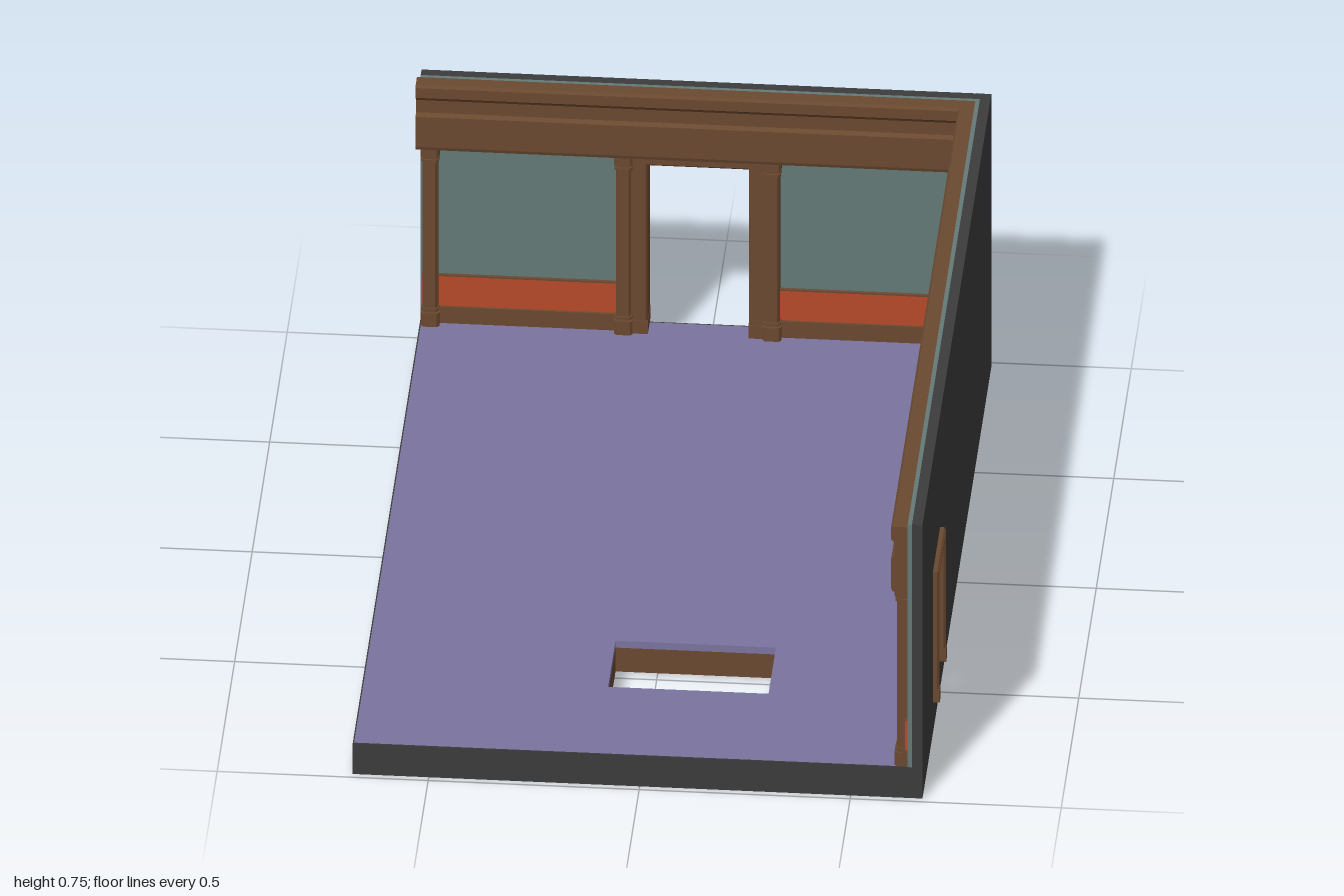
import * as THREE from 'three';

const mat = (color) => new THREE.MeshStandardMaterial({ color, flatShading: true });
const wood = mat(0x6b4930), dark = mat(0x3c3c3c), teal = mat(0x647a78);
const red = mat(0xb84a2a), violet = mat(0x7b74a0);
const FLOOR = 0.085, TOP = 0.755, FACE = 0.035;

const poly = (pts) => new THREE.Shape(pts.map(([x, y]) => new THREE.Vector2(x, y)));
const rect = (x0, x1, y0, y1) => poly([[x0, y0], [x1, y0], [x1, y1], [x0, y1]]);

function add(parent, name, geometry, material) {
  const mesh = new THREE.Mesh(geometry, material);
  mesh.name = name;
  parent.add(mesh);
  return mesh;
}

function box(parent, name, material, x0, x1, y0, y1, z0, z1) {
  const m = add(parent, name, new THREE.BoxGeometry(x1 - x0, y1 - y0, z1 - z0), material);
  m.position.set((x0 + x1) / 2, (y0 + y1) / 2, (z0 + z1) / 2);
}

// Extrudes a shape along z between two depths
function slab(parent, name, material, shape, z0, z1, bevel = 0) {
  const geo = new THREE.ExtrudeGeometry(shape, {
    depth: z1 - z0 - 2 * bevel, bevelEnabled: bevel > 0, bevelSize: bevel,
    bevelThickness: bevel, bevelOffset: -bevel, bevelSegments: 1,
  });
  geo.translate(0, 0, z0 + bevel);
  return add(parent, name, geo, material);
}

// Horizontal layer drawn as a plan in x and z, raised from y0 to y1
function plate(parent, name, material, outline, y0, y1, holes = []) {
  outline.holes.push(...holes);
  const m = slab(parent, name, material, outline, -y1, -y0);
  m.geometry.rotateX(Math.PI / 2);
}

// Column with chamfered front corners, plus a base and a capital
function pilaster(parent, x) {
  const g = new THREE.Group();
  g.name = 'pilaster';
  const piece = (name, half, depth, y0, y1) => {
    const c = 0.006;
    const plan = poly([[-half, 0], [half, 0], [half, depth - c], [half - c, depth],
      [c - half, depth], [-half, depth - c]]);
    plate(g, name, wood, plan, y0, y1);
  };
  piece('pilasterBase', 0.022, 0.032, FLOOR, 0.122);
  piece('pilasterShaft', 0.018, 0.026, 0.122, 0.58);
  piece('pilasterLowerCollar', 0.021, 0.03, 0.128, 0.134);
  piece('pilasterNeck', 0.021, 0.03, 0.538, 0.545);
  piece('pilasterCapital', 0.022, 0.032, 0.551, 0.58);
  g.position.set(x, 0, FACE);
  parent.add(g);
}

// Upside-down U around a doorway
function doorCasing(parent, { d0, d1, top, width, out }) {
  const u = poly([[d0 - width, FLOOR], [d0, FLOOR], [d0, top], [d1, top], [d1, FLOOR],
    [d1 + width, FLOOR], [d1 + width, top + width * 0.85], [d0 - width, top + width * 0.85]]);
  slab(parent, 'doorCasing', wood, u, -out, FACE + 0.02, 0.005);
  for (const [a, b] of [[d0 - width, d0], [d1, d1 + width]])
    box(parent, 'doorPlinth', wood, a - 0.001, b + 0.001, FLOOR, 0.12, -out - 0.001, FACE + 0.022);
}

// Wall built along local x; local z = 0 is the outer face, +z points inward
function wall(name, { shell, lining, trim, cornice, door, pilasters }) {
  const g = new THREE.Group();
  g.name = name;
  const { d0, d1, top } = door, e = 0.006;
  const notched = ([a, b]) => poly([[a, FLOOR], [d0 - e, FLOOR], [d0 - e, top + e],
    [d1 + e, top + e], [d1 + e, FLOOR], [b, FLOOR], [b, TOP], [a, TOP]]);
  slab(g, 'outerWall', dark, notched(shell), 0, 0.025);
  slab(g, 'wallPanel', teal, notched(lining), 0.025, FACE);
  doorCasing(g, door);

  // Baseboard, coloured dado and dado cap on both sides of the door
  const w = door.width * 0.7;
  for (const [a, b] of [[trim[0], d0 - w], [d1 + w, trim[1]]]) {
    box(g, 'baseboard', wood, a, b, FLOOR, 0.13, FACE, FACE + 0.012);
    box(g, 'dado', red, a, b, 0.13, 0.212, FACE, FACE + 0.006);
    box(g, 'dadoCap', wood, a, b, 0.212, 0.216, FACE, FACE + 0.008);
  }
  pilasters.forEach((x) => pilaster(g, x));

  // Stepped cornice swept along the wall
  const profile = poly([[0, 0.576], [0.035, 0.576], [0.038, 0.585], [0.038, 0.668], [0.03, 0.676],
    [0.03, 0.71], [0.034, 0.716], [0.039, 0.721], [0.039, 0.748], [0.034, TOP], [0, TOP]]);
  const c = slab(g, 'cornice', wood, profile, 0, cornice[1] - cornice[0]);
  c.geometry.rotateY(-Math.PI / 2);
  c.position.set(cornice[1], 0, FACE);
  return g;
}

export function createModel() {
  const model = new THREE.Group();
  model.name = 'roomCorner';

  // Floor: dark rim, wooden underside and violet top, with an opening
  const floor = new THREE.Group();
  floor.name = 'floor';
  const hole = () => rect(-0.1, 0.28, 0.47, 0.68);
  const inner = () => rect(-0.677, 0.667, -0.977, 0.982);
  plate(floor, 'floorRim', dark, rect(-0.68, 0.67, -0.98, 0.985), 0, FLOOR, [inner()]);
  plate(floor, 'floorUnderside', wood, inner(), 0, 0.066, [hole()]);
  plate(floor, 'floorTop', violet, inner(), 0.066, FLOOR, [hole()]);
  model.add(floor);

  const back = wall('backWall', {
    shell: [-0.68, 0.67], lining: [-0.68, 0.64], trim: [-0.675, 0.635], cornice: [-0.688, 0.635],
    door: { d0: -0.14, d1: 0.1, top: 0.548, width: 0.042, out: 0.02 },
    pilasters: [-0.655, -0.197, 0.155, 0.615],
  });
  back.position.z = -0.98;

  const side = wall('leftWall', {
    shell: [-0.98, 0.985], lining: [-0.981, 0.985], trim: [-0.945, 0.983], cornice: [-0.945, 0.997],
    door: { d0: 0.5, d1: 0.668, top: 0.43, width: 0.018, out: 0.015 },
    pilasters: [-0.925, -0.575, 0.19, 0.96],
  });
  side.rotation.y = -Math.PI / 2;
  side.position.x = 0.67;

  model.add(back, side);
  return model;
}
